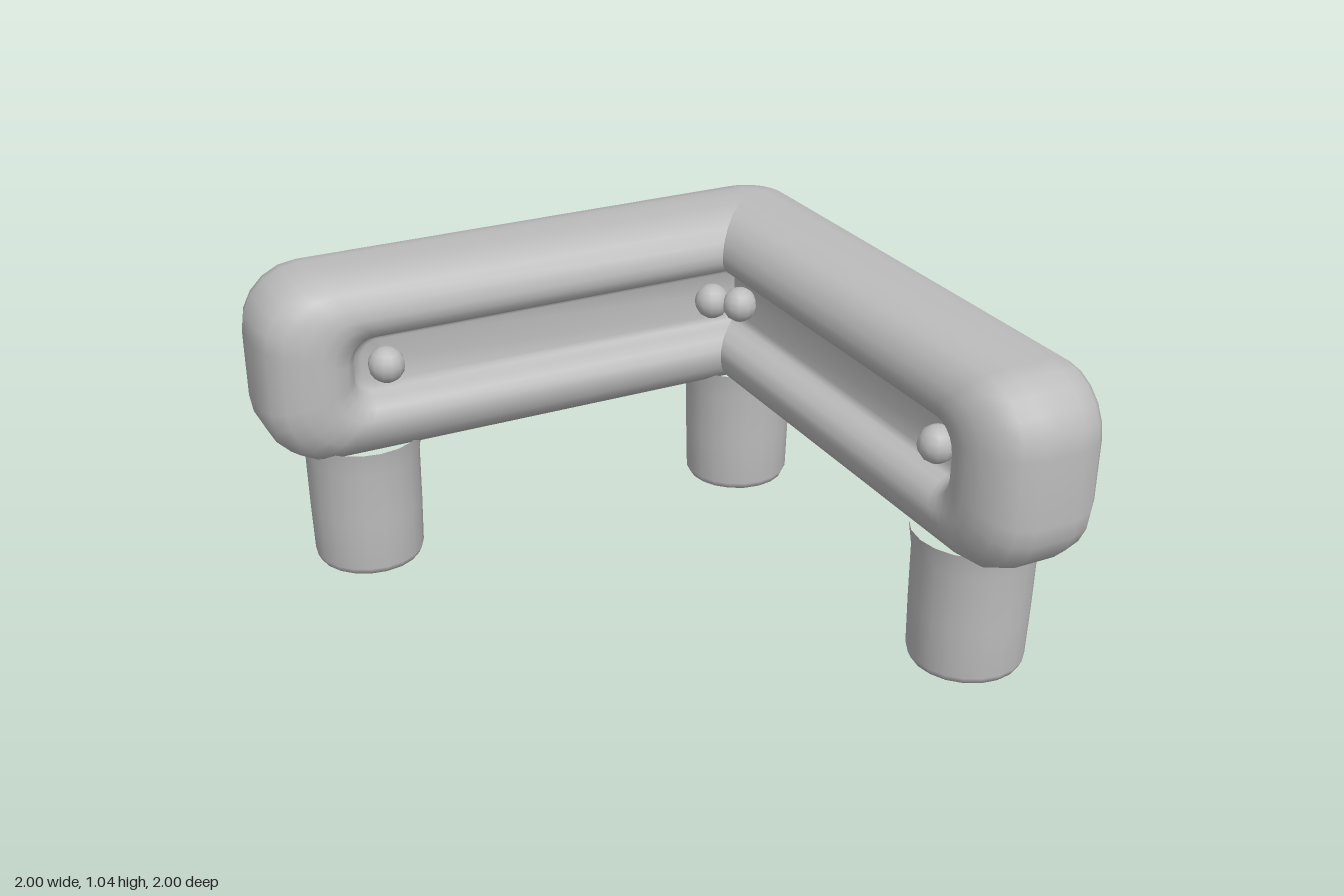
import * as THREE from 'three';

const MID = 0.73, HALF = 0.31;      // rail centre height and half height
const AXIS = 0.79;                  // distance of each arm's centreline from the middle

// Half cross-section: s = inset from the outline, v = distance from the centreline
const ROUND = [[0, 0], [0, 0.07], [0.012, 0.13], [0.04, 0.172], [0.08, 0.2], [0.12, 0.21]];
const GROOVE = [[0.15, 0.208], [0.185, 0.19], [0.205, 0.15], [0.215, 0.115], [0.235, 0.1], [HALF, 0.1]];

// Rounded rectangle loop, counter-clockwise seen from the inner side
function loop(x0, x1, h, r) {
  const pts = [], steps = 5;
  r = Math.min(r, h);
  const corners = [[x1 - r, h - r], [x0 + r, h - r], [x0 + r, r - h], [x1 - r, r - h]];
  corners.forEach(([cx, cy], q) => {
    for (let k = 0; k <= steps; k++) {
      const a = (q + k / steps) * Math.PI / 2;
      pts.push([cx + r * Math.cos(a), cy + r * Math.sin(a)]);
    }
  });
  return pts;
}

// One arm with a long groove on both sides, mitred where the two arms meet
function armGeometry(mirrored) {
  const half = [...ROUND, ...GROOVE];
  const rows = [...half.slice().reverse().map(([s, v]) => [s, v]),
    ...half.slice(1).map(([s, v]) => [s, -v])];
  const pos = [], cut = [], index = [];
  let n = 0;
  for (const [s, v] of rows) {
    const end = v < 0 && s >= 0.15 ? 1 - 1.4 * s : 1.3;
    const limit = AXIS - Math.max(0, v);
    const pts = loop(-1 + 1.4 * s, end, HALF - s, Math.max(0.05, 0.2 - 0.6 * s));
    n = pts.length;
    for (const [px, py] of pts) {
      const x = Math.min(px, limit), z = -AXIS + v;
      cut.push(px >= limit - 1e-6);
      pos.push(mirrored ? -z : x, MID + py, mirrored ? -x : z);
    }
  }
  const tri = (a, b, c) => {
    if (cut[a] && cut[b] && cut[c]) return;   // nothing on the hidden joint
    if (mirrored) index.push(a, c, b); else index.push(a, b, c);
  };
  for (let i = 0; i < rows.length - 1; i++) {
    for (let j = 0; j < n; j++) {
      const k = (j + 1) % n;
      const a = i * n + j, b = a + n, c = b - j + k, d = i * n + k;
      tri(a, b, c);
      tri(a, c, d);
    }
  }
  const g = new THREE.BufferGeometry();
  g.setAttribute('position', new THREE.Float32BufferAttribute(pos, 3));
  g.setIndex(index);
  g.computeVertexNormals();
  return g;
}

export function createModel() {
  const group = new THREE.Group();
  const grey = new THREE.MeshStandardMaterial({ color: 0xbcbcbc });
  grey.name = 'grey';
  const add = (name, geometry, x = 0, y = 0, z = 0) => {
    const m = new THREE.Mesh(geometry, grey);
    m.name = name;
    m.position.set(x, y, z);
    group.add(m);
    return m;
  };

  // Two arms of the L
  add('backArm', armGeometry(false));
  add('leftArm', armGeometry(true));

  // Rounded outer corner joining the arms
  const profile = [...ROUND.map(([s, v]) => new THREE.Vector2(v, MID - HALF + s)),
    ...ROUND.slice().reverse().map(([s, v]) => new THREE.Vector2(v, MID + HALF - s))];
  add('corner', new THREE.LatheGeometry(profile, 8, Math.PI / 2, Math.PI / 2), AXIS, 0, -AXIS);

  // Three stout round legs
  const legProfile = [[0, 0], [0.15, 0], [0.172, 0.008], [0.182, 0.03], [0.186, 0.2], [0.188, 0.38], [0.2, 0.46]]
    .map(([r, y]) => new THREE.Vector2(r, y));
  const leg = new THREE.LatheGeometry(legProfile, 20);
  add('rightLeg', leg, -0.665, 0, -0.77);
  add('cornerLeg', leg, 0.74, 0, -0.74);
  add('frontLeg', leg, 0.77, 0, 0.665);

  // Round studs near both ends of every groove
  const stud = new THREE.SphereGeometry(0.06, 12, 8);
  for (const u of [-0.6, 0.58]) {
    for (const v of [-0.14, 0.14]) {
      add('backArmStud', stud, u, MID, -AXIS + v);
      add('leftArmStud', stud, AXIS - v, MID, -u);
    }
  }
  return group;
}
